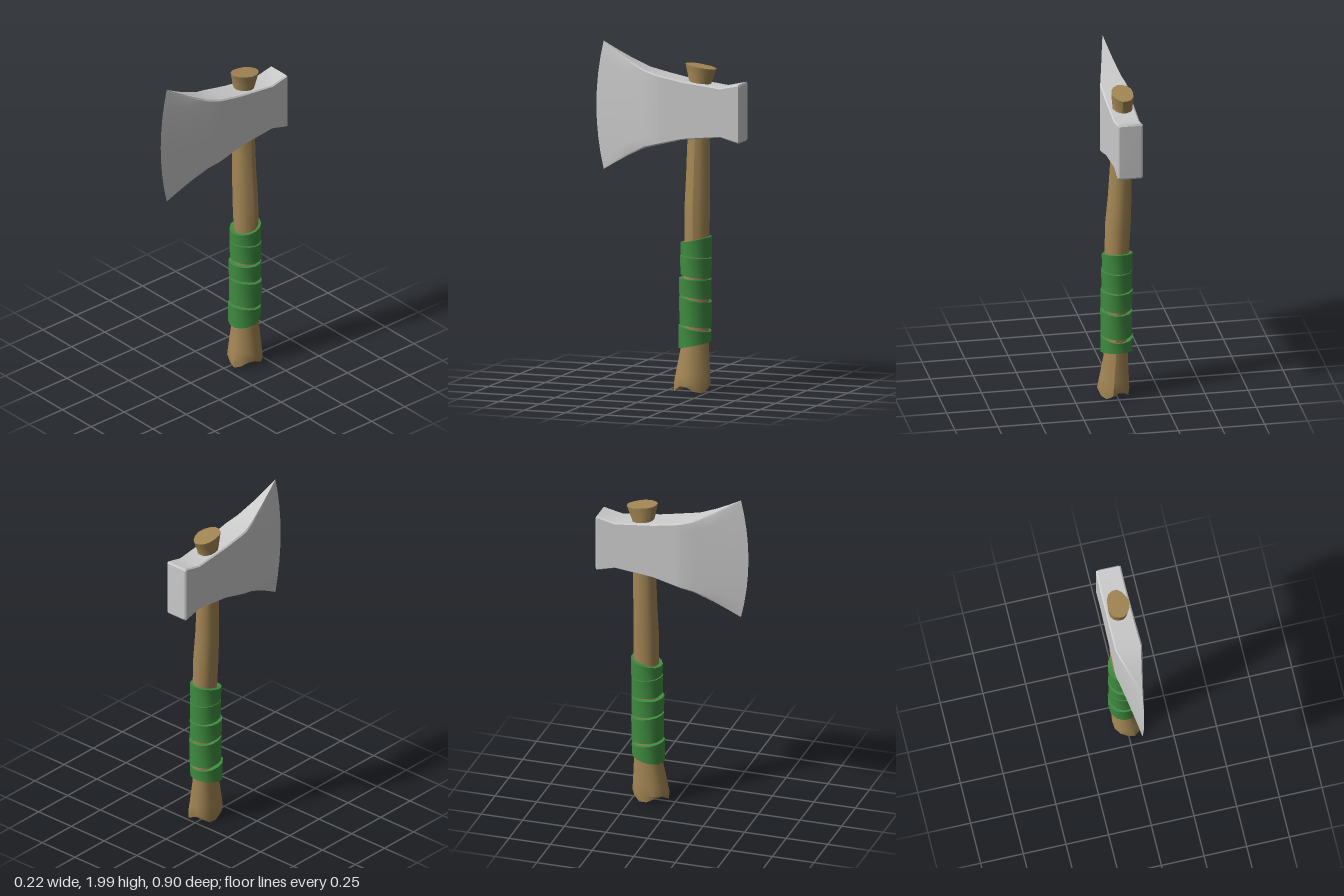
import * as THREE from 'three';
import { toCreasedNormals } from 'three/addons/utils/BufferGeometryUtils.js';

// Skins equal-sized rings of points; optional end caps fan out from given centres.
function loft(rings, startCentre, endCentre, crease = 0.6) {
  const n = rings[0].length, pos = rings.flat(2), index = [];
  for (let i = 0; i < rings.length - 1; i++) {
    for (let j = 0; j < n; j++) {
      const k = (j + 1) % n, a = i * n, b = a + n;
      index.push(a + j, b + j, b + k, a + j, b + k, a + k);
    }
  }
  const cap = (centre, base, flip) => {
    const c = pos.length / 3;
    pos.push(...centre);
    for (let j = 0; j < n; j++) {
      const k = (j + 1) % n;
      index.push(c, base + (flip ? k : j), base + (flip ? j : k));
    }
  };
  if (startCentre) cap(startCentre, 0, false);
  if (endCentre) cap(endCentre, (rings.length - 1) * n, true);
  const geo = new THREE.BufferGeometry();
  geo.setAttribute('position', new THREE.Float32BufferAttribute(pos, 3));
  geo.setIndex(index);
  return toCreasedNormals(geo, crease);
}

// Horizontal elliptical ring; y is a function of the angle.
function ring(cx, cz, rx, rz, yAt, sides, wobble = 0) {
  return Array.from({ length: sides }, (_, j) => {
    const a = (j / sides) * Math.PI * 2;
    const r = 1 + wobble * Math.sin(a * 3 + 1) + wobble * Math.cos(a * 5);
    return [cx + rx * r * Math.cos(a), yAt(a), cz + rz * r * Math.sin(a)];
  });
}

function headGeometry() {
  const X = -0.03, W = 0.078, CHEEK = 0.07, TIP = 0.405;
  // z, top, bottom, half width of the body
  const stations = [
    [-0.448, 1.79, 1.47, 0.064], [-0.44, 1.8, 1.46, 0.073], [-0.33, 1.775, 1.49, 0.074],
    [-0.1, 1.803, 1.465, 0.076], [0.03, 1.828, 1.432, W], [CHEEK, 1.837, 1.422, W],
    [0.14, 1.857, 1.402], [0.25, 1.91, 1.35], [0.33, 1.955, 1.305], [TIP, 2, 1.26],
  ];
  const vs = [1, 0.96, 0.75, 0.5, 0.25, 0, -0.25, -0.5, -0.75, -0.96, -1];
  const rings = stations.map(([z, top, bottom, width]) => {
    const t = Math.max(0, (z - CHEEK) / (TIP - CHEEK));
    const w = width ?? W * (1 - t);
    const point = (v, side) => {
      const half = Math.max(0, w - (Math.abs(v) === 1 ? 0.008 * (1 - t) : 0));
      return [X + side * half, (top + bottom) / 2 + v * (top - bottom) / 2, z + 0.045 * t * (1 - v * v)];
    };
    return [...vs.map(v => point(v, 1)), ...vs.slice().reverse().map(v => point(v, -1))];
  });
  return loft(rings, [X, 1.63, -0.45], null, 0.5);
}

function handleGeometry() {
  // y, centre x, centre z, radius x, radius z
  const sections = [
    [0.06, 0.012, -0.15, 0.092, 0.107], [0.12, 0.008, -0.153, 0.085, 0.1],
    [0.26, 0, -0.162, 0.069, 0.083], [0.55, -0.002, -0.168, 0.069, 0.077],
    [0.85, -0.002, -0.173, 0.069, 0.073], [1.08, -0.011, -0.172, 0.074, 0.073],
    [1.25, -0.021, -0.173, 0.068, 0.069], [1.45, -0.028, -0.175, 0.063, 0.066],
    [1.79, -0.035, -0.182, 0.056, 0.064],
  ];
  const rings = sections.map(([y, cx, cz, rx, rz]) => ring(cx, cz, rx, rz, () => y, 14, 0.02));
  // three-lobed foot
  const foot = a => 0.033 - 0.021 * Math.cos(3 * (a + Math.PI / 4));
  rings.unshift(ring(0.014, -0.15, 0.088, 0.104, foot, 14, 0.02));
  // flared, slanted top end
  rings.push(ring(-0.033, -0.187, 0.063, 0.092, a => 1.886 + 0.014 * Math.sin(a), 14, 0.02));
  return loft(rings, [0.01, 0.05, -0.15], [-0.033, 1.887, -0.187]);
}

// Slanted band: heights at the front (+z) and at the back of its two rims.
function bandGeometry([topF, topB, botF, botB, cx, cz, r]) {
  const tilt = (f, b) => a => (f + b) / 2 + (f - b) / 2 * Math.sin(a);
  const top = tilt(topF, topB), bottom = tilt(botF, botB);
  const make = (s, yAt) => ring(cx, cz, r * s, r * s * 1.02, yAt, 14, 0.008);
  const inner = make(0.72, bottom);
  return loft([inner, make(0.98, bottom), make(1, top), make(0.72, top), inner]);
}

export function createModel() {
  const group = new THREE.Group();
  const add = (name, geo, color) => {
    const mesh = new THREE.Mesh(geo, new THREE.MeshStandardMaterial({ color }));
    mesh.name = name;
    group.add(mesh);
  };
  add('axeHead', headGeometry(), 0xcccccc);
  add('handle', handleGeometry(), 0xa38654);

  // Grip wrapping, top to bottom
  const bands = [
    [0.87, 0.91, 0.805, 0.79, -0.007, -0.168, 0.09],
    [0.8, 0.785, 0.69, 0.67, -0.004, -0.167, 0.09],
    [0.668, 0.662, 0.575, 0.55, -0.004, -0.163, 0.093],
    [0.562, 0.532, 0.405, 0.385, -0.002, -0.165, 0.093],
    [0.395, 0.362, 0.26, 0.3, -0.005, -0.16, 0.094],
  ];
  bands.forEach((b, i) => add(`gripBand${i + 1}`, bandGeometry(b), 0x3f8c40));
  return group;
}
